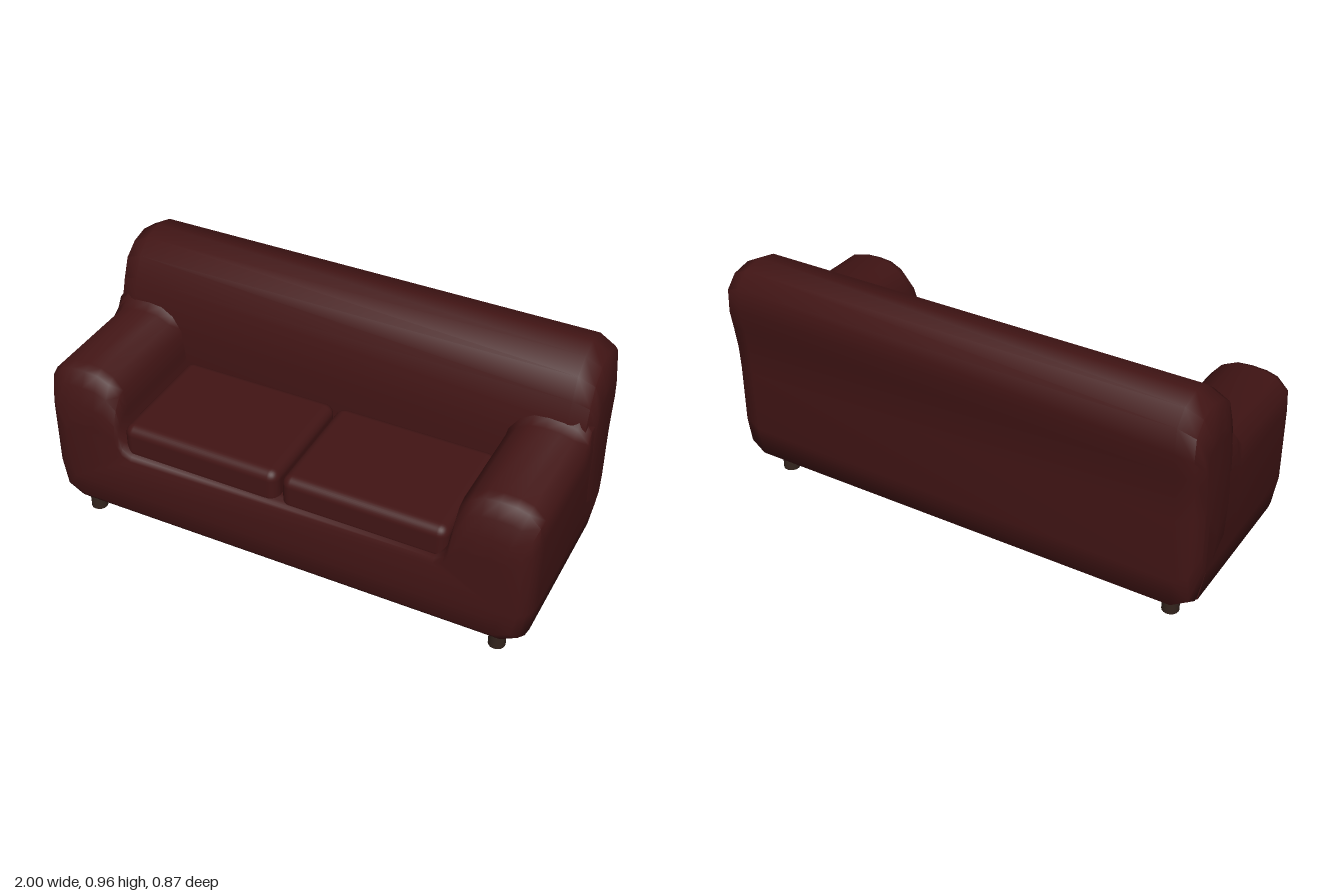
import * as THREE from 'three';
import { toCreasedNormals } from 'three/addons/utils/BufferGeometryUtils.js';
import { RoundedBoxGeometry } from 'three/addons/geometries/RoundedBoxGeometry.js';

const leather = new THREE.MeshStandardMaterial({ color: 0x421515 });
const wood = new THREE.MeshStandardMaterial({ color: 0x33241d });

// Joins equal-length counter-clockwise outlines, stacked along z, into a closed solid
function loft(slices) {
  const n = slices[0].points.length;
  const positions = slices.flatMap(({ depth, points }) => points.flatMap(([x, y]) => [x, y, depth]));
  const index = [];
  for (let i = 0; i < slices.length - 1; i++) {
    for (let j = 0; j < n; j++) {
      const a = i * n + j, b = i * n + (j + 1) % n;
      index.push(a, b, b + n, a, b + n, a + n);
    }
  }
  const cap = (k) => THREE.ShapeUtils.triangulateShape(
    slices[k].points.map(([x, y]) => new THREE.Vector2(x, y)), []);
  const last = slices.length - 1;
  for (const [a, b, c] of cap(0)) index.push(a, c, b);
  for (const [a, b, c] of cap(last)) index.push(a + last * n, b + last * n, c + last * n);
  const geometry = new THREE.BufferGeometry();
  geometry.setAttribute('position', new THREE.Float32BufferAttribute(positions, 3));
  geometry.setIndex(index);
  return geometry;
}

// U-shaped section: base with an arm on each side, softened towards the front
function makeFrame() {
  const half = [
    [0.915, 0.075], [0.98, 0.115], [1, 0.24], [1, 0.55], [0.995, 0.64], [0.95, 0.688], [0.9, 0.702],
    [0.84, 0.705], [0.785, 0.7], [0.735, 0.675], [0.695, 0.625], [0.682, 0.54], [0.668, 0.445], [0.63, 0.4],
  ];
  const outline = [...half, ...half.map(([x, y]) => [-x, y]).reverse()];
  // depth, arm height factor, bottom height, side inset, seat height
  const sections = [
    [-0.3, 1.25, 0.075, 0, 0.4], [-0.115, 1.25, 0.075, 0, 0.4], [-0.09, 1.08, 0.075, 0, 0.4],
    [-0.055, 1, 0.075, 0, 0.4], [0.34, 1, 0.075, 0, 0.4], [0.375, 0.95, 0.075, 0.005, 0.4],
    [0.405, 0.77, 0.085, 0.02, 0.397], [0.426, 0.56, 0.115, 0.045, 0.388], [0.435, 0.36, 0.2, 0.085, 0.37],
  ];
  return loft(sections.map(([depth, rise, bottom, inset, seat]) => ({
    depth,
    points: outline.map(([x, y]) => {
      const px = Math.abs(x) > 0.9 ? x - Math.sign(x) * inset : x;
      if (y <= 0.24) return [px, 0.24 - (0.24 - y) * (0.24 - bottom) / 0.165];
      return [px, seat + (y - 0.4) * rise];
    }),
  })));
}

// Backrest: side profile swept across the width, with rounded ends
function makeBack() {
  const profile = [ // z, y
    [-0.3, 0.077], [-0.32, 0.077], [-0.38, 0.115], [-0.4, 0.24], [-0.4, 0.5], [-0.405, 0.6], [-0.42, 0.7],
    [-0.436, 0.79], [-0.431, 0.89], [-0.38, 0.944], [-0.295, 0.962], [-0.215, 0.944], [-0.15, 0.895],
    [-0.115, 0.81], [-0.09, 0.73], [-0.08, 0.62], [-0.075, 0.4], [-0.1, 0.2],
  ];
  // x, bottom, top, thickness factor
  const ends = [[0.91, 0.077, 0.962, 1], [0.975, 0.115, 0.928, 0.92], [1, 0.24, 0.81, 0.6]];
  const sections = [...ends.map(([x, ...rest]) => [-x, ...rest]).reverse(), ...ends];
  return loft(sections.map(([depth, bottom, top, thick]) => ({
    depth,
    points: profile.map(([z, y]) => [
      0.25 - (z + 0.25) * thick,
      bottom + (y - 0.077) / 0.885 * (top - bottom),
    ]),
  }))).rotateY(Math.PI / 2);
}

export function createModel() {
  const sofa = new THREE.Group();
  sofa.name = 'sofa';
  const add = (name, geometry, material, x = 0, y = 0, z = 0) => {
    const mesh = new THREE.Mesh(geometry, material);
    mesh.name = name;
    mesh.position.set(x, y, z);
    sofa.add(mesh);
  };

  add('baseAndArms', toCreasedNormals(makeFrame(), 0.95), leather);
  add('backrest', toCreasedNormals(makeBack(), 0.95), leather);

  for (const [side, s] of [['left', 1], ['right', -1]]) {
    // Seat cushions
    add(`${side}Cushion`, new RoundedBoxGeometry(0.662, 0.15, 0.5, 4, 0.04), leather, s * 0.338, 0.438, 0.162);
    // Short round feet
    for (const [place, z] of [['Front', 0.347], ['Back', -0.27]]) {
      add(`${side}${place}Leg`, new THREE.CylinderGeometry(0.033, 0.033, 0.12, 16), wood, s * 0.866, 0.06, z);
    }
  }
  return sofa;
}
